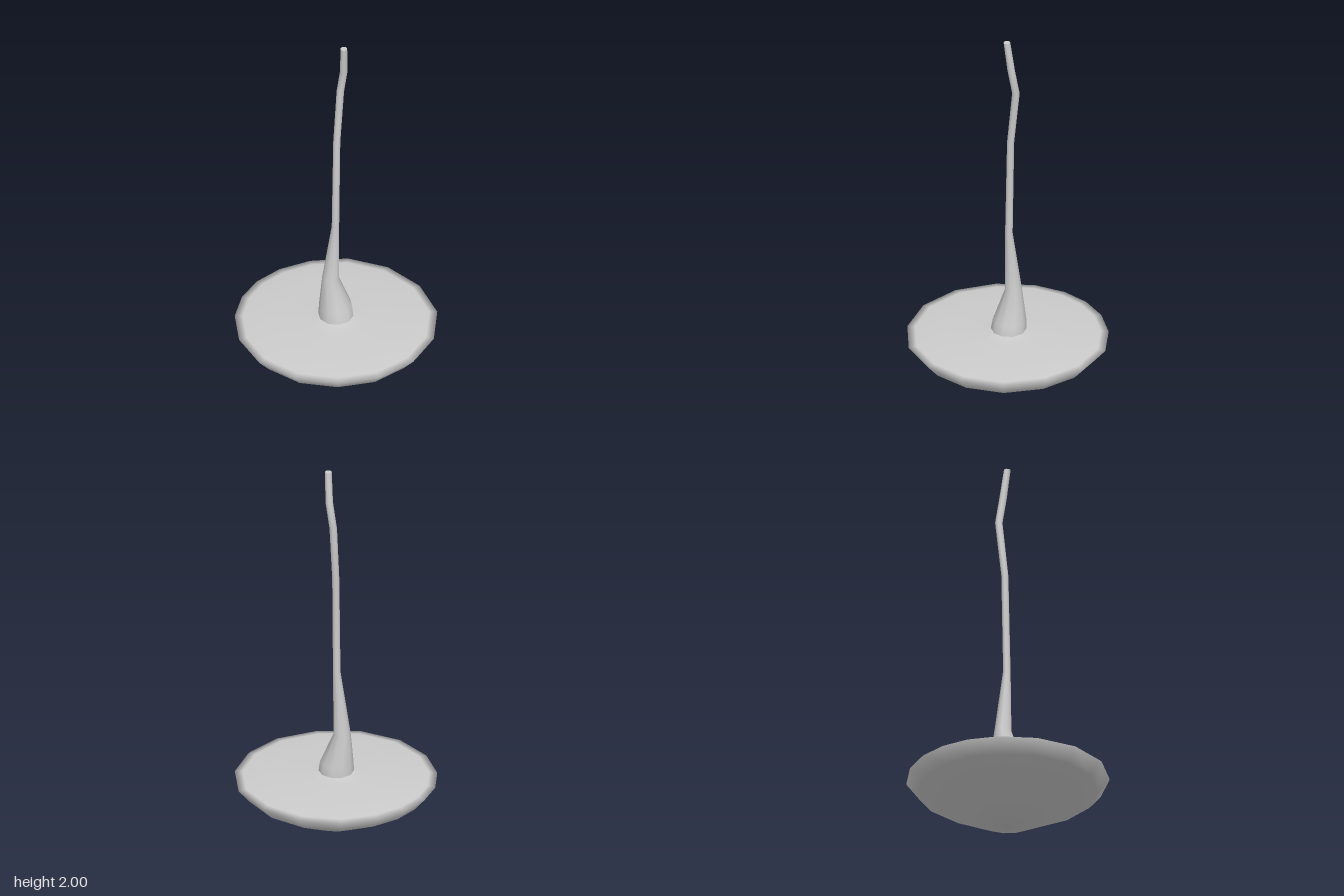
import * as THREE from 'three';
import { mergeVertices } from 'three/addons/utils/BufferGeometryUtils.js';

// Skins a stack of rings; ring(i, j) returns point j of ring i.
// Rings turn anticlockwise seen from above and run outside-up.
function loft(ringCount, sides, ring) {
  const pos = [], index = [];
  for (let i = 0; i < ringCount; i++) {
    for (let j = 0; j < sides; j++) pos.push(...ring(i, j));
  }
  for (let i = 0; i < ringCount - 1; i++) {
    for (let j = 0; j < sides; j++) {
      const a = i * sides + j, b = i * sides + (j + 1) % sides;
      index.push(a, b, a + sides, b, b + sides, a + sides);
    }
  }
  const g = new THREE.BufferGeometry();
  g.setAttribute('position', new THREE.Float32BufferAttribute(pos, 3));
  g.setIndex(index);
  const merged = mergeVertices(g, 1e-5);
  merged.computeVertexNormals();
  return merged;
}

export function createModel() {
  const group = new THREE.Group();
  const material = new THREE.MeshStandardMaterial({ color: 0xcccccc });
  const add = (name, geometry) => {
    const mesh = new THREE.Mesh(geometry, material);
    mesh.name = name;
    group.add(mesh);
  };

  // Shallow bowl-shaped cap with a slightly uneven 16-sided rim
  const rim = [
    [-0.02, -0.51], [-0.205, -0.46], [-0.345, -0.37], [-0.44, -0.255],
    [-0.495, -0.12], [-0.507, 0.04], [-0.455, 0.23], [-0.325, 0.4],
    [-0.13, 0.5], [0.09, 0.505], [0.29, 0.425], [0.435, 0.27],
    [0.507, 0.07], [0.49, -0.15], [0.37, -0.345], [0.19, -0.47],
  ];
  // Radius and height, from the bottom tip up over the rim to the stem foot
  const profile = [
    [0, 0], [0.15, 0.045], [0.45, 0.205], [0.51, 0.275], [0.47, 0.28],
    [0.33, 0.297], [0.14, 0.298], [0.09, 0.315], [0, 0.32],
  ];
  add('cap', loft(profile.length, rim.length, (i, j) => {
    const [r, y] = profile[i], s = r / 0.51;
    return [rim[j][0] * s, y, rim[j][1] * s];
  }));

  // Crooked stem, wide at the foot: centre x, y, centre z, radius
  const sections = [
    [0, 0.3, 0, 0.09],
    [-0.003, 0.37, -0.006, 0.084],
    [-0.03, 0.53, -0.017, 0.043],
    [-0.003, 0.87, -0.002, 0.019],
    [0.002, 1.4, -0.013, 0.018],
    [0.015, 1.7, -0.046, 0.019],
    [0.035, 1.84, -0.028, 0.019],
    [0.039, 2, -0.007, 0.017],
  ];
  const sides = 10;
  add('stem', loft(sections.length, sides, (i, j) => {
    const [x, y, z, r] = sections[i], a = j / sides * Math.PI * 2;
    return [x + r * Math.cos(a), y, z - r * Math.sin(a)];
  }));

  // Flat end of the stem
  const [x, y, z, r] = sections[sections.length - 1];
  const end = new THREE.CircleGeometry(r, sides).rotateX(-Math.PI / 2);
  add('stemEnd', end.translate(x, y, z));

  return group;
}
